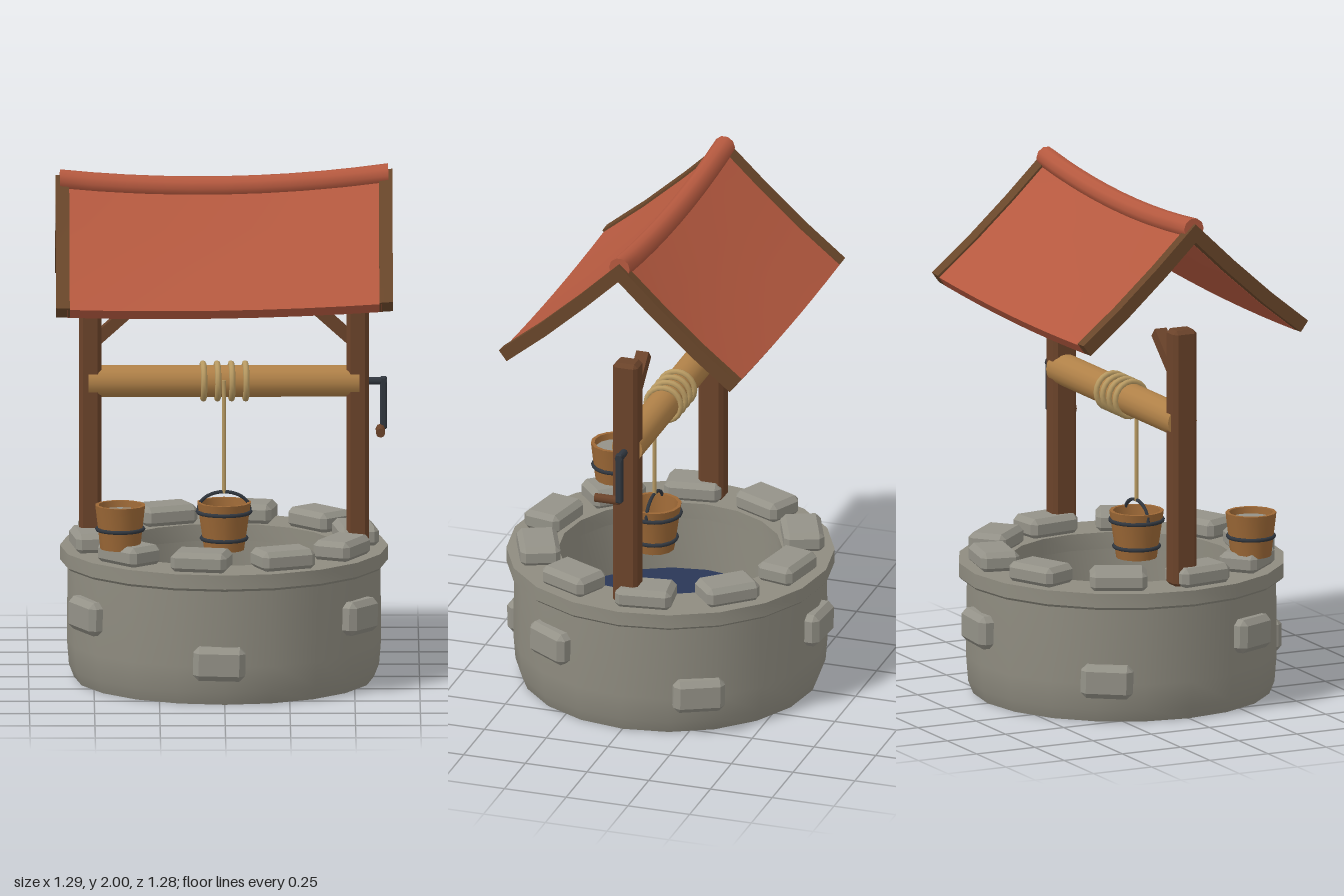
import * as THREE from 'three';
import { toCreasedNormals } from 'three/addons/utils/BufferGeometryUtils.js';
import { ConvexGeometry } from 'three/addons/geometries/ConvexGeometry.js';

const mat = (name, color) => {
  const m = new THREE.MeshStandardMaterial({ color });
  m.name = name;
  return m;
};

export function createModel() {
  const stone = mat('stone', 0x8f8c80);
  const block = mat('blockStone', 0x949288);
  const water = mat('water', 0x2a3757);
  const timber = mat('darkTimber', 0x6b432a);
  const trimWood = mat('trimWood', 0x69462a);
  const logWood = mat('logWood', 0xb08148);
  const bucketWood = mat('bucketWood', 0x9c6836);
  const rope = mat('rope', 0xb89a62);
  const iron = mat('iron', 0x31373f);
  const roofRed = mat('roofRed', 0xb5593f);

  const model = new THREE.Group();
  const add = (name, geo, material, pos = [0, 0, 0], rot = [0, 0, 0], parent = model) => {
    const mesh = new THREE.Mesh(geo, material);
    mesh.name = name;
    mesh.position.set(...pos);
    mesh.rotation.set(...rot);
    parent.add(mesh);
    return mesh;
  };

  // Box with all edges cut off
  const chamferBox = (w, h, d, c) => {
    const pts = [];
    for (const x of [-1, 1]) for (const y of [-1, 1]) for (const z of [-1, 1]) {
      for (let k = 0; k < 3; k++) {
        pts.push(new THREE.Vector3(
          x * (w / 2 - (k === 0 ? 0 : c)),
          y * (h / 2 - (k === 1 ? 0 : c)),
          z * (d / 2 - (k === 2 ? 0 : c))));
      }
    }
    return new ConvexGeometry(pts);
  };
  const lathe = (pts, sides) => toCreasedNormals(
    new THREE.LatheGeometry(pts.map(p => new THREE.Vector2(...p)), sides), 0.5);

  // Well wall, rim and water
  add('wellWall', lathe([[0, 0], [0.575, 0], [0.595, 0.05], [0.603, 0.15], [0.6, 0.455],
    [0.44, 0.455], [0.44, 0.2]], 20), stone);
  add('wellRim', lathe([[0.43, 0.45], [0.62, 0.45], [0.63, 0.46], [0.63, 0.515],
    [0.43, 0.515], [0.43, 0.45]], 20), stone);
  add('wellWater', new THREE.CircleGeometry(0.442, 20), water, [0, 0.235, 0], [-Math.PI / 2, 0, 0]);

  // Stones lying on the rim
  const capGeo = chamferBox(0.22, 0.08, 0.155, 0.02);
  for (let i = 0; i < 10; i++) {
    const a = THREE.MathUtils.degToRad(-10 + i * 36);
    const wobble = [-0.03, -0.05, 0.04, 0, -0.04][i % 5];
    add('rimStone', capGeo, block, [Math.sin(a) * 0.51, 0.55, Math.cos(a) * 0.51], [0, a + wobble, 0]);
  }

  // Stones standing out of the wall, alternately low and high
  const wallGeo = chamferBox(0.2, 0.13, 0.09, 0.022);
  [-2, 59, 119, 178, 238, 299].forEach((deg, i) => {
    const a = THREE.MathUtils.degToRad(deg);
    const g = new THREE.Group();
    g.rotation.y = a;
    model.add(g);
    add('wallStone', wallGeo, block, [0, i % 2 ? 0.295 : 0.165, 0.595], [0, 0, i % 2 ? -0.03 : -0.02], g);
  });

  // Posts and braces
  for (const s of [-1, 1]) {
    add('post', chamferBox(0.085, 1.01, 0.1, 0.015), timber, [s * 0.513, 1.017, 0]);
    add('brace', new THREE.BoxGeometry(0.24, 0.045, 0.05), timber,
      [s * 0.41, 1.39, 0], [0, 0, -s * 0.73]);
  }

  // Windlass log with rope coils
  add('windlassLog', new THREE.CylinderGeometry(0.062, 0.062, 1.04, 16), logWood,
    [0, 1.155, 0], [0, 0, Math.PI / 2]);
  for (let i = 0; i < 4; i++) {
    add('ropeCoil', new THREE.TorusGeometry(0.068, 0.012, 8, 20), rope,
      [-0.08 + i * 0.054, 1.155, 0], [0, Math.PI / 2 + 0.06, 0]);
  }
  add('hangingRope', new THREE.CylinderGeometry(0.008, 0.008, 0.44, 8), rope, [0, 0.95, 0.065]);

  // Crank
  add('crankAxle', new THREE.CylinderGeometry(0.015, 0.015, 0.08, 8), iron,
    [0.585, 1.155, 0], [0, 0, Math.PI / 2]);
  add('crankArm', chamferBox(0.026, 0.205, 0.028, 0.005), iron, [0.612, 1.07, 0]);
  add('crankGrip', new THREE.CylinderGeometry(0.018, 0.018, 0.1, 8), timber,
    [0.6, 0.97, 0.052], [Math.PI / 2, 0, 0]);

  // Buckets
  const bucket = (name, pos, rb, rt, h, hoops) => {
    const g = new THREE.Group();
    g.name = name;
    g.position.set(...pos);
    model.add(g);
    add('bucketStaves', lathe([[0, 0], [rb, 0], [rt, h], [rt - 0.014, h],
      [rb - 0.012, 0.02], [0, 0.02]], 14), bucketWood, [0, 0, 0], [0, 0, 0], g);
    for (const t of hoops) {
      add('bucketHoop', new THREE.TorusGeometry(rb + (rt - rb) * t + 0.002, 0.008, 6, 20), iron,
        [0, h * t, 0], [Math.PI / 2, 0, 0], g);
    }
    return g;
  };
  const hanging = bucket('hangingBucket', [0, 0.51, 0.065], 0.078, 0.105, 0.185, [0.24, 0.8]);
  const arc = [];
  for (let i = 0; i <= 8; i++) {
    const a = Math.PI * i / 8;
    arc.push(new THREE.Vector3(Math.cos(a) * 0.1, 0.155 + Math.sin(a) * 0.07, 0));
  }
  add('bucketHandle', new THREE.TubeGeometry(new THREE.CatmullRomCurve3(arc), 16, 0.007, 6), iron,
    [0, 0, 0], [0, 0, 0], hanging);
  const standing = bucket('standingBucket', [-0.4, 0.57, 0.355], 0.078, 0.098, 0.17, [0.45]);
  add('bucketFill', new THREE.CircleGeometry(0.088, 14), block,
    [0, 0.145, 0], [-Math.PI / 2, 0, 0], standing);

  // Roof: bars and slabs bent along a sagging slope
  const roof = new THREE.Group();
  roof.name = 'roof';
  roof.position.z = -0.006;
  model.add(roof);
  const slope = [[0, 1.92], [0.16, 1.775], [0.32, 1.64], [0.478, 1.52]];
  const normals = [[0, 1.38], [0.67, 0.74], [0.63, 0.78], [0.6, 0.8]];
  const lift = (x, t) => (0.037 - 0.022 * t) * (x / 0.62) ** 2;
  const tilt = x => 0.018 * x;
  const roofPiece = (x0, x1, thick, raise, nx, side) => {
    const geo = new THREE.BoxGeometry(x1 - x0, thick, 1, nx, 1, 3);
    const p = geo.attributes.position;
    for (let i = 0; i < p.count; i++) {
      const x = p.getX(i) + (x0 + x1) / 2;
      const k = Math.round((p.getZ(i) + 0.5) * 3);
      const v = p.getY(i) - thick / 2 + raise;
      p.setXYZ(i, x, slope[k][1] + normals[k][1] * v + lift(x, k / 3) + side * tilt(x),
        slope[k][0] + normals[k][0] * v);
    }
    return toCreasedNormals(geo, 0.5);
  };
  for (const s of [1, -1]) {
    const rot = [0, s > 0 ? 0 : Math.PI, 0];
    add('roofSlab', roofPiece(-0.602, 0.602, 0.045, 0, 8, s), roofRed, [0, 0, 0], rot, roof);
    for (const e of [-1, 1]) {
      add('roofTrim', roofPiece(e * 0.62 - 0.026, e * 0.62 + 0.026, 0.052, 0.008, 1, s),
        trimWood, [0, 0, 0], rot, roof);
    }
  }

  // Ridge roll following the same sag
  const ridge = new THREE.CylinderGeometry(0.042, 0.042, 1.26, 10, 10).rotateZ(Math.PI / 2);
  const rp = ridge.attributes.position;
  for (let i = 0; i < rp.count; i++) {
    const x = rp.getX(i);
    rp.setY(i, rp.getY(i) + 1.912 + lift(x, 0) + tilt(x));
  }
  add('ridgeRoll', toCreasedNormals(ridge, 0.8), roofRed, [0, 0, 0], [0, 0, 0], roof);

  return model;
}
